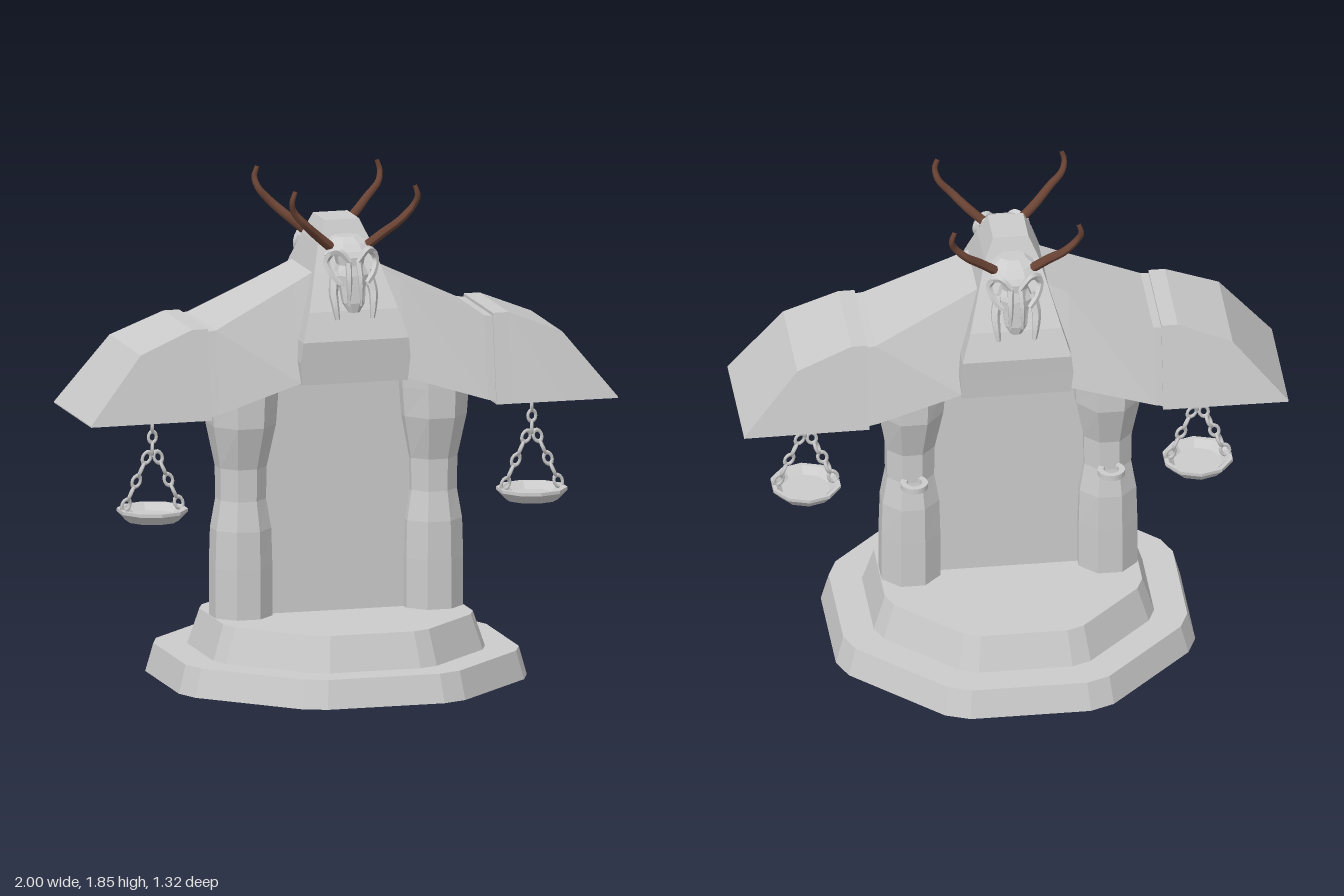
import * as THREE from 'three';

const stone = new THREE.MeshStandardMaterial({ color: 0xcccccc, flatShading: true, side: THREE.DoubleSide });
const smoothStone = new THREE.MeshStandardMaterial({ color: 0xcccccc });
const horn = new THREE.MeshStandardMaterial({ color: 0x6b4435 });

function add(parent, name, geometry, material = stone) {
  const mesh = new THREE.Mesh(geometry, material);
  mesh.name = name;
  parent.add(mesh);
  return mesh;
}

// Skin closed cross-sections; each ring turns right-handed about the direction of advance
function loft(rings) {
  const pos = [];
  const tri = (a, b, c) => pos.push(...a, ...b, ...c);
  const n = rings[0].length;
  for (let i = 0; i < rings.length - 1; i++) {
    for (let j = 0; j < n; j++) {
      const k = (j + 1) % n;
      const [a, b, c, d] = [rings[i][j], rings[i][k], rings[i + 1][k], rings[i + 1][j]];
      tri(a, b, c);
      tri(a, c, d);
    }
  }
  const first = rings[0], last = rings[rings.length - 1];
  for (let j = 1; j < n - 1; j++) {
    tri(first[0], first[j + 1], first[j]);
    tri(last[0], last[j], last[j + 1]);
  }
  const g = new THREE.BufferGeometry();
  g.setAttribute('position', new THREE.Float32BufferAttribute(pos, 3));
  g.computeVertexNormals();
  return g;
}

// Octagon at height y with half sizes hx, hz; flat sides face the axes
function octagon(y, hx, hz = hx, cz = 0) {
  const k = 1 / Math.cos(Math.PI / 8);
  return Array.from({ length: 8 }, (_, i) => {
    const t = (i + 0.5) * Math.PI / 4;
    return [Math.sin(t) * k * hx, y, cz + Math.cos(t) * k * hz];
  });
}

// Octagon with every corner bevelled, for the plinth
function bevelledOctagon(y, r) {
  const ring = [];
  for (let i = 0; i < 4; i++) {
    const c = Math.cos(i * Math.PI / 2), s = Math.sin(i * Math.PI / 2);
    for (const [x, z] of [[-0.335, 1], [0.335, 1], [0.47, 0.945], [0.945, 0.47]]) {
      ring.push([r * (x * c + z * s), y, r * (z * c - x * s)]);
    }
  }
  return ring;
}

const rect = (y, hx, hz) => [[-hx, y, hz], [hx, y, hz], [hx, y, -hz], [-hx, y, -hz]];
const wingSection = (x, top, zTop, bottom, zBottom) =>
  [[x, top, -zTop], [x, top, zTop], [x, bottom, zBottom], [x, bottom, -zBottom]];

// Tube that thins toward its end
function taperedTube(points, radius, tip, sides = 8) {
  const curve = new THREE.CatmullRomCurve3(points.map(p => new THREE.Vector3(...p)));
  const n = 20, g = new THREE.TubeGeometry(curve, n, radius, sides);
  const p = g.attributes.position, v = new THREE.Vector3();
  for (let i = 0; i < p.count; i++) {
    const t = Math.floor(i / (sides + 1)) / n;
    const centre = curve.getPointAt(t);
    v.fromBufferAttribute(p, i).sub(centre).multiplyScalar(1 + (tip - 1) * t * t).add(centre);
    p.setXYZ(i, v.x, v.y, v.z);
  }
  g.computeVertexNormals();
  return g;
}

// Links laid from a to b, alternate ones turned a quarter
function chain(parent, a, b, count) {
  const from = new THREE.Vector3(...a), to = new THREE.Vector3(...b);
  const dir = to.clone().sub(from), pitch = dir.length() / count;
  const g = new THREE.TorusGeometry(0.017, 0.0065, 6, 12);
  g.scale(1, (pitch + 0.014) / 0.047, 1);
  for (let i = 0; i < count; i++) {
    const link = add(parent, 'chainLink', g, smoothStone);
    link.position.lerpVectors(from, to, (i + 0.5) / count);
    link.quaternion.setFromUnitVectors(new THREE.Vector3(0, -1, 0), dir.clone().normalize());
    link.rotateY(i % 2 ? Math.PI / 2 - 0.25 : 0.25);
  }
}

function scalePan(x) {
  const g = new THREE.Group();
  g.name = 'hangingPan';
  const profile = [[0, 0.605], [0.098, 0.605], [0.13, 0.638], [0.13, 0.65], [0.115, 0.65], [0.09, 0.624], [0, 0.624]];
  add(g, 'pan', new THREE.LatheGeometry(profile.map(p => new THREE.Vector2(...p)), 10));
  chain(g, [0, 1.02, 0], [0, 0.85, 0], 4);
  for (const s of [-1, 1]) chain(g, [0.012 * s, 0.86, 0], [0.11 * s, 0.645, 0], 5);
  g.position.x = x;
  return g;
}

// Horned skull facing +z, muzzle pointing down
function skull() {
  const g = new THREE.Group();
  g.name = 'hornedSkull';
  add(g, 'cranium', loft([
    octagon(1.385, 0.02, 0.015, 0.235), octagon(1.42, 0.04, 0.03, 0.228),
    octagon(1.48, 0.047, 0.04, 0.212), octagon(1.52, 0.062, 0.05, 0.197),
    octagon(1.555, 0.046, 0.055, 0.18), octagon(1.585, 0.052, 0.06, 0.175),
    octagon(1.605, 0.085, 0.06, 0.162), octagon(1.63, 0.075, 0.05, 0.145),
    octagon(1.65, 0.045, 0.035, 0.125)]));
  for (const s of [-1, 1]) {
    add(g, 'cheekbone', taperedTube([[0.078 * s, 1.605, 0.205], [0.094 * s, 1.57, 0.195],
      [0.08 * s, 1.525, 0.215], [0.05 * s, 1.49, 0.235]], 0.013, 0.8, 5));
    add(g, 'browRidge', taperedTube([[0.092 * s, 1.59, 0.19], [0.055 * s, 1.612, 0.222],
      [0.015 * s, 1.57, 0.235]], 0.014, 0.7, 5));
    add(g, 'noseRidge', taperedTube([[0.018 * s, 1.58, 0.225], [0.022 * s, 1.5, 0.25],
      [0.022 * s, 1.41, 0.25]], 0.013, 0.5, 5));
    add(g, 'tusk', taperedTube([[0.06 * s, 1.53, 0.2], [0.075 * s, 1.46, 0.225],
      [0.072 * s, 1.41, 0.242], [0.066 * s, 1.362, 0.25]], 0.02, 0.45, 5));
    add(g, 'antler', taperedTube([[0.06 * s, 1.61, 0.165], [0.125 * s, 1.665, 0.19],
      [0.18 * s, 1.715, 0.222], [0.228 * s, 1.77, 0.232], [0.238 * s, 1.81, 0.25],
      [0.226 * s, 1.848, 0.25]], 0.018, 0.45), horn);
  }
  return g;
}

// Flat C-shaped bracket
function hookGeometry() {
  const s = new THREE.Shape();
  s.absarc(0, 0, 0.05, -0.6, Math.PI + 0.9, false);
  s.absarc(0, 0, 0.028, Math.PI + 0.9, -0.6, true);
  return new THREE.ExtrudeGeometry(s, { depth: 0.022, bevelEnabled: false, curveSegments: 8 }).rotateX(-Math.PI / 2);
}

export function createModel() {
  const model = new THREE.Group();
  model.name = 'scalesMonument';

  // Two-step plinth
  add(model, 'lowerPlinth', loft([bevelledOctagon(0, 0.66), bevelledOctagon(0.105, 0.632)]));
  add(model, 'upperPlinth', loft([bevelledOctagon(0.105, 0.515), bevelledOctagon(0.235, 0.473)]));

  // Wall between the pillars
  add(model, 'backPanel', new THREE.BoxGeometry(0.6, 0.95, 0.02)).position.y = 0.7;

  // Pillars with a narrow waist and flared head, each with a hook behind
  const pillar = loft([[0.23, 0.108, 0.106], [0.42, 0.108, 0.106], [0.56, 0.104, 0.104], [0.67, 0.086, 0.088],
    [0.79, 0.088, 0.09], [0.95, 0.118, 0.138], [1.06, 0.126, 0.14], [1.15, 0.13, 0.14]]
    .map(([y, hx, hz]) => octagon(y, hx, hz)));
  for (const s of [-1, 1]) {
    add(model, 'pillar', pillar).position.x = 0.362 * s;
    add(model, 'hook', hookGeometry()).position.set(0.362 * s, 0.683, -0.138);
  }

  // Sloping beams and the wing ends they carry
  const beam = loft([wingSection(0, 1.585, 0.11, 1.13, 0.235), wingSection(0.14, 1.515, 0.135, 1.13, 0.235),
    wingSection(0.2, 1.485, 0.142, 1.13, 0.235), wingSection(0.51, 1.335, 0.185, 1.03, 0.235),
    wingSection(0.56, 1.33, 0.185, 1.02, 0.235)]);
  const wing = loft([wingSection(0.54, 1.343, 0.19, 1.012, 0.242), wingSection(0.6, 1.343, 0.19, 1.012, 0.242),
    wingSection(0.8, 1.262, 0.205, 1.012, 0.243), wingSection(1, 1.016, 0.244, 1.012, 0.245)]);
  for (const turn of [0, Math.PI]) {
    add(model, 'beam', beam).rotation.y = turn;
    add(model, 'wingEnd', wing).rotation.y = turn;
  }

  // Tapered centre block
  add(model, 'centreBlock', loft([rect(1.125, 0.2, 0.25), rect(1.21, 0.208, 0.258), rect(1.285, 0.2, 0.266),
    rect(1.39, 0.168, 0.232), rect(1.52, 0.13, 0.165), rect(1.62, 0.1, 0.108), rect(1.7, 0.065, 0.077)]));

  // A skull on the front and on the back
  const front = skull();
  const back = skull();
  back.rotation.y = Math.PI;
  model.add(front, back);

  // Scale pans under the wings
  model.add(scalePan(-0.697), scalePan(0.743));
  return model;
}
